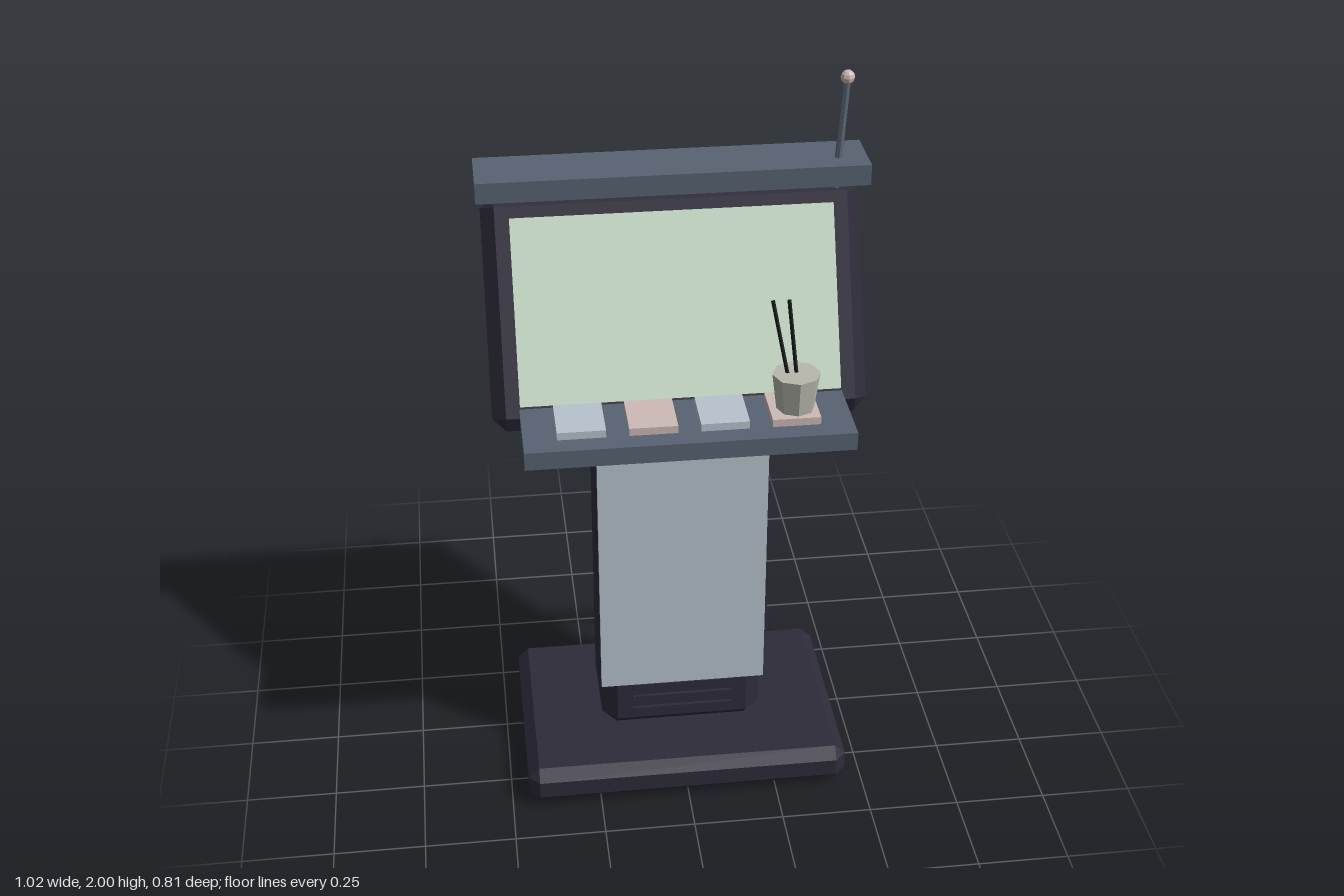
import * as THREE from 'three';
import { ConvexGeometry } from 'three/addons/geometries/ConvexGeometry.js';

const mat = (name, color) => {
  const m = new THREE.MeshStandardMaterial({ color });
  m.name = name;
  m.flatShading = true;
  return m;
};

// Box with every edge cut at 45 degrees by c
function chamferBox(w, h, d, c) {
  const pts = [];
  for (const sx of [-1, 1]) for (const sy of [-1, 1]) for (const sz of [-1, 1]) {
    const x = w / 2, y = h / 2, z = d / 2;
    pts.push(new THREE.Vector3(sx * x, sy * (y - c), sz * (z - c)));
    pts.push(new THREE.Vector3(sx * (x - c), sy * y, sz * (z - c)));
    pts.push(new THREE.Vector3(sx * (x - c), sy * (y - c), sz * z));
  }
  return new ConvexGeometry(pts);
}

export function createModel() {
  const model = new THREE.Group();
  model.name = 'kiosk';
  const dark = mat('dark casing', 0x2e2b3a);
  const slate = mat('slate', 0x586272);
  const paleBlue = mat('pale blue', 0xb8c3ce);
  const pink = mat('dusty pink', 0xcebab7);
  const glass = mat('pale green screen', 0xc9dec8);
  const stone = mat('cup grey', 0xb8b8ae);
  const black = mat('black', 0x15151b);

  const add = (name, geometry, material, x = 0, y = 0, z = 0, parent = model) => {
    const mesh = new THREE.Mesh(geometry, material);
    mesh.name = name;
    mesh.position.set(x, y, z);
    parent.add(mesh);
    return mesh;
  };
  const box = (w, h, d) => new THREE.BoxGeometry(w, h, d);

  // Straight rod between two points
  const rod = (name, a, b, r, sides, material) => {
    const from = new THREE.Vector3(...a), to = new THREE.Vector3(...b);
    const dir = to.clone().sub(from);
    const mesh = add(name, new THREE.CylinderGeometry(r, r, dir.length(), sides), material);
    mesh.position.copy(from).add(to).multiplyScalar(0.5);
    mesh.quaternion.setFromUnitVectors(new THREE.Vector3(0, 1, 0), dir.normalize());
    return mesh;
  };

  // Base and column
  add('base', chamferBox(0.905, 0.11, 0.62, 0.03), dark, 0, 0.065, 0.07);
  add('column', chamferBox(0.455, 1.095, 0.307, 0.042), dark, 0, 0.667, 0.053);
  add('frontPanel', box(0.462, 0.82, 0.016), paleBlue, 0, 0.7, 0.212);
  for (let i = 0; i < 3; i++) {
    add('ventSlot', box(0.285, 0.018, 0.012), dark, 0, 0.193 + i * 0.041, 0.21);
  }

  // Tilted display
  const display = new THREE.Group();
  display.name = 'display';
  display.position.set(0, 1.4, 0.03);
  display.rotation.x = -0.43;
  model.add(display);
  add('displayFrame', chamferBox(0.995, 0.62, 0.11, 0.035), dark, 0, 0, 0, display);
  add('screen', box(0.85, 0.49, 0.006), glass, 0, 0, 0.055, display);

  // Canopy bar and shelf
  add('canopy', box(1.02, 0.056, 0.168), slate, 0, 1.743, -0.049);
  add('shelf', box(0.854, 0.05, 0.24), slate, 0, 1.17, 0.286);

  // Row of pads on the shelf
  for (let i = 0; i < 4; i++) {
    add('pad', box(0.126, 0.022, 0.142), i % 2 ? pink : paleBlue, (i - 1.5) * 0.185, 1.205, 0.28);
  }

  // Cup with two sticks
  add('cup', new THREE.CylinderGeometry(0.063, 0.05, 0.1, 8), stone, 0.283, 1.266, 0.291);
  rod('stickOuter', [0.263, 1.3, 0.288], [0.226, 1.5, 0.237], 0.0055, 6, black);
  rod('stickInner', [0.285, 1.3, 0.288], [0.268, 1.5, 0.237], 0.0055, 6, black);

  // Antenna
  rod('antenna', [0.427, 1.69, -0.019], [0.452, 1.98, -0.046], 0.01, 6, slate);
  add('antennaTip', new THREE.SphereGeometry(0.019, 8, 6), pink, 0.453, 1.981, -0.047);

  // Bent rear brace with a faceted knee
  const knee = [0.28, 0.44, -0.284];
  rod('braceUpper', [0.172, 0.87, -0.105], knee, 0.021, 6, dark);
  rod('braceLower', knee, [0.333, 0.008, -0.383], 0.021, 6, dark);
  add('braceKnee', new THREE.IcosahedronGeometry(0.021, 1), dark, ...knee);

  return model;
}
